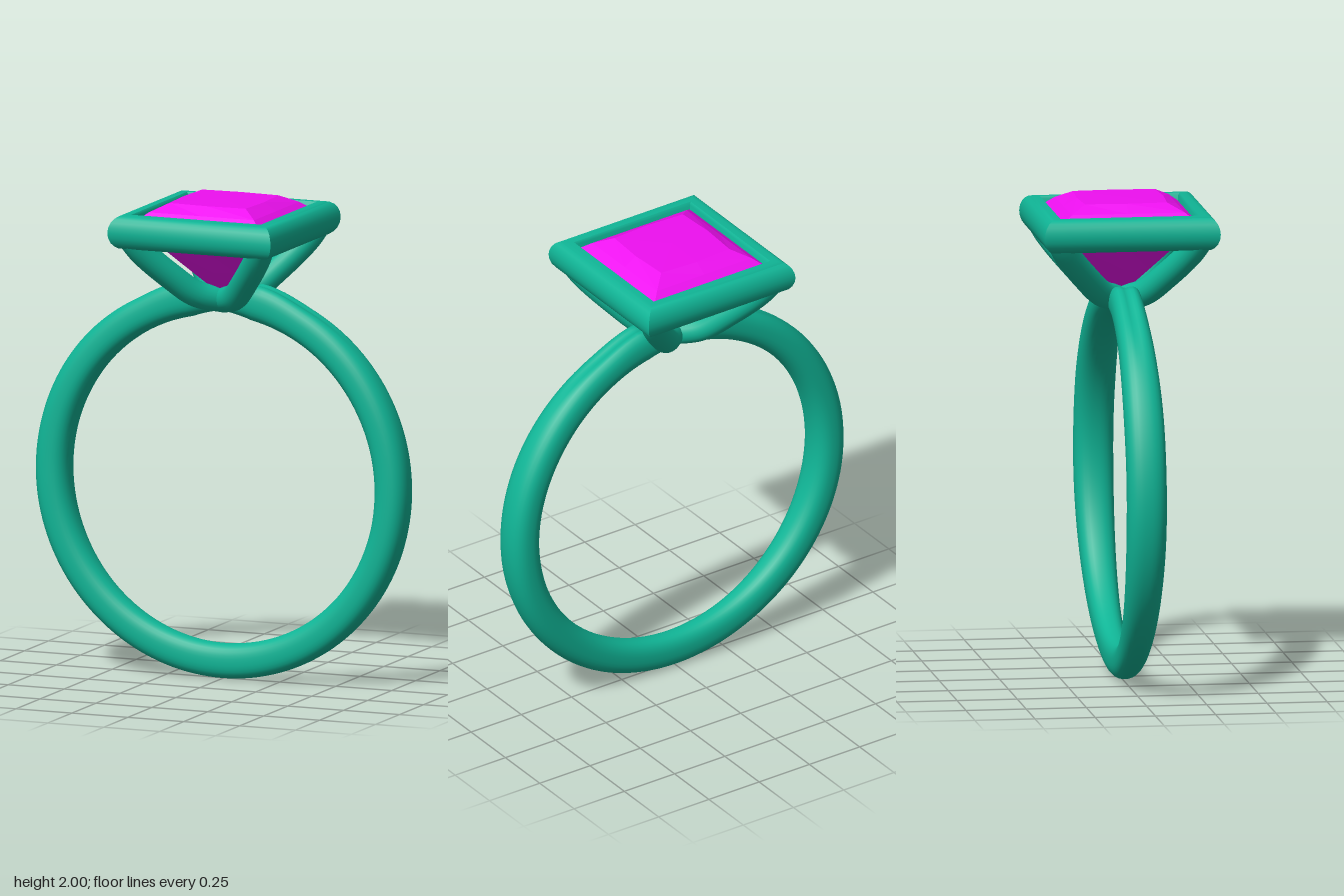
import * as THREE from 'three';
import { toCreasedNormals } from 'three/addons/utils/BufferGeometryUtils.js';
import { ParametricGeometry } from 'three/addons/geometries/ParametricGeometry.js';

const metal = new THREE.MeshStandardMaterial({ color: 0x10b596 });
const stone = new THREE.MeshStandardMaterial({ color: 0xee10f0, flatShading: true });

function addMesh(parent, name, geometry, material) {
  const mesh = new THREE.Mesh(geometry, material);
  mesh.name = name;
  parent.add(mesh);
  return mesh;
}

// Band: a hoop whose width and thickness vary with the angle from the top
function bandGeometry() {
  const step = THREE.MathUtils.smoothstep;
  return new ParametricGeometry((u, v, target) => {
    const theta = u * Math.PI * 2;
    const fromTop = Math.min(theta, Math.PI * 2 - theta);
    const phi = v * Math.PI * 2;
    const c = Math.cos(phi), s = Math.sin(phi);
    const dip = Math.max(0, 1 - fromTop / 0.2); // the halves part under the stone
    const shoulder = 1 - step(fromTop, 0.2, 0.5);
    const outer = 0.83 + 0.016 * shoulder - 0.06 * dip;
    const inner = 0.685 + 0.022 * dip;
    const halfWidth = 0.066 + 0.016 * step(fromTop, 0.2, 1.2) - 0.028 * step(fromTop, 1.6, Math.PI);
    // slightly squared oval section with a shallow groove on the shoulders
    const k = 1 / Math.pow(Math.abs(c) ** 2.4 + Math.abs(s) ** 2.4, 1 / 2.4);
    const groove = c > 0 ? 0.014 * (1 - step(fromTop, 0.3, 0.9)) * Math.exp(-((s / 0.35) ** 2)) : 0;
    const r = (outer + inner) / 2 + k * c * (outer - inner) / 2 - groove;
    target.set(r * Math.sin(theta), 0.83 + r * Math.cos(theta), -k * s * halfWidth);
  }, 160, 32);
}

// Square frame: a closed profile swept round four mitred sides
function frameGeometry() {
  const points = [[0.26, 1.82], [0.31, 1.82]];
  for (let i = 0; i <= 10; i++) {
    const a = -Math.PI / 2 + (i / 10) * Math.PI;
    points.push([0.315 + 0.05 * Math.cos(a), 1.89 + 0.07 * Math.sin(a)]);
  }
  points.push([0.29, 1.96], [0.282, 1.95], [0.282, 1.87], [0.26, 1.82]);
  const profile = points.map(([x, y]) => new THREE.Vector2(x * Math.SQRT2, y));
  return toCreasedNormals(new THREE.LatheGeometry(profile, 4, Math.PI / 4), 0.7);
}

// Princess-cut stone: rows of [height, half size at corners, half size at mid sides]
function gemGeometry() {
  const rows = [
    [1.59, 0, 0], [1.71, 0.105, 0.118], [1.82, 0.2, 0.212], [1.9, 0.28, 0.28],
    [1.93, 0.28, 0.28], [1.965, 0.235, 0.235], [1.998, 0.17, 0.18], [2.0, 0, 0],
  ];
  const profile = rows.map(([y, r]) => new THREE.Vector2(r, y));
  const geometry = new THREE.LatheGeometry(profile, 8, Math.PI / 4);
  const pos = geometry.attributes.position;
  for (let i = 0; i < pos.count; i++) {
    const [y, corner, mid] = rows[i % rows.length];
    const column = Math.floor(i / rows.length);
    const r = column % 2 ? mid : corner * Math.SQRT2;
    const a = Math.PI / 4 + column * Math.PI / 4;
    pos.setXYZ(i, r * Math.sin(a), y, r * Math.cos(a));
  }
  return geometry;
}

export function createModel() {
  const ring = new THREE.Group();
  ring.name = 'ring';
  addMesh(ring, 'band', bandGeometry(), metal);
  addMesh(ring, 'squareFrame', frameGeometry(), metal);
  addMesh(ring, 'gem', gemGeometry(), stone);

  // Four prongs curving from the frame corners to the top of the band
  const prongs = new THREE.Group();
  prongs.name = 'prongs';
  ring.add(prongs);
  const path = [[0.305, 1.89], [0.262, 1.81], [0.165, 1.69], [0.085, 1.61], [0, 1.58]];
  for (const sx of [1, -1]) {
    for (const sz of [1, -1]) {
      const curve = new THREE.CatmullRomCurve3(path.map(([d, y]) => new THREE.Vector3(sx * d, y, sz * d)));
      addMesh(prongs, 'prong', new THREE.TubeGeometry(curve, 32, 0.055, 20), metal);
    }
  }
  return ring;
}
